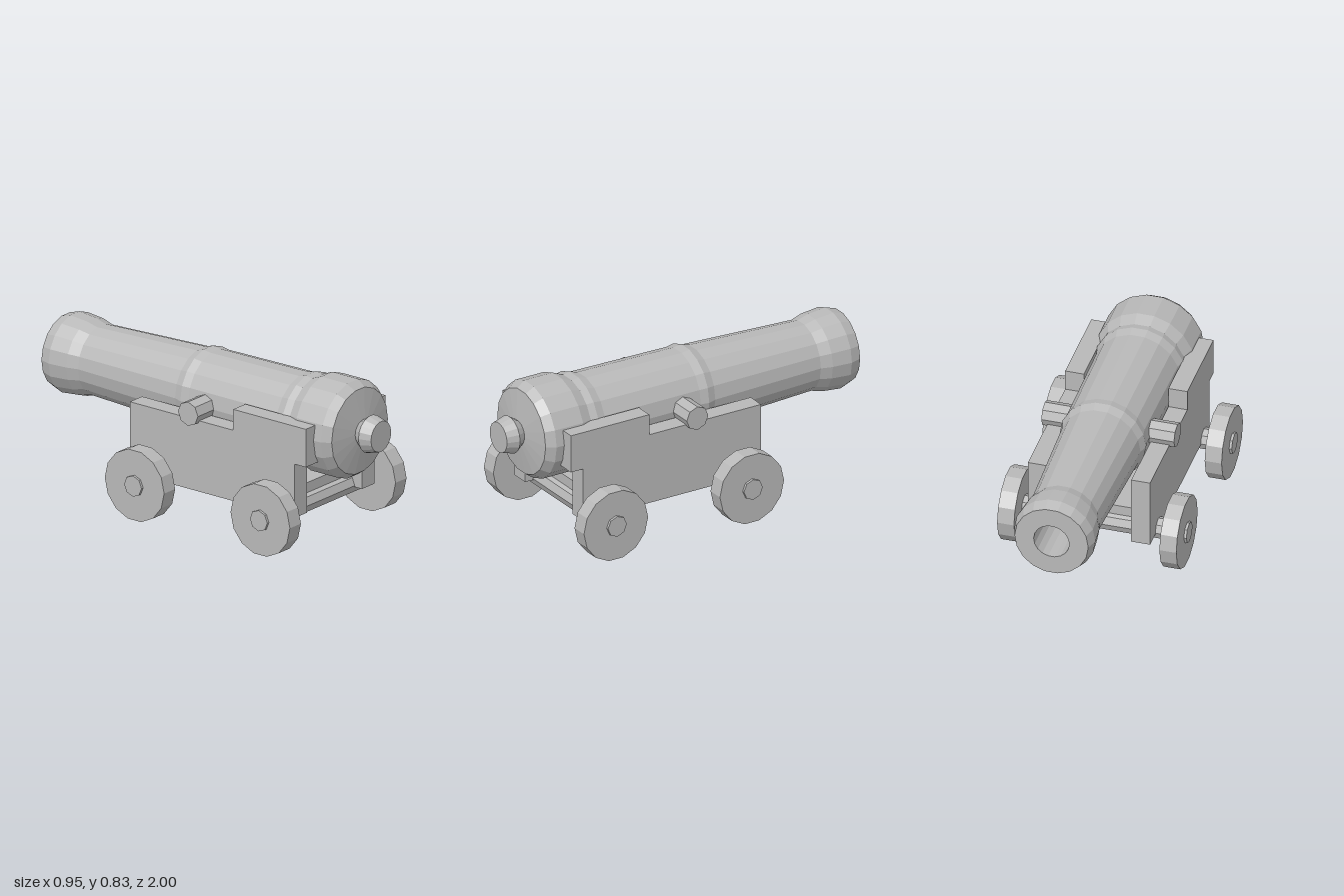
import * as THREE from 'three';

export function createModel() {
  const model = new THREE.Group();
  model.name = 'cannon';
  const grey = new THREE.MeshStandardMaterial({ color: 0xb8b8b8 });
  grey.name = 'plain grey';
  grey.flatShading = true;

  function add(name, geometry, x = 0, y = 0, z = 0) {
    const mesh = new THREE.Mesh(geometry, grey);
    mesh.name = name;
    mesh.position.set(x, y, z);
    model.add(mesh);
    return mesh;
  }
  // Cylinder lying along x
  const crossBar = (radius, length, sides) =>
    new THREE.CylinderGeometry(radius, radius, length, sides).rotateZ(Math.PI / 2);

  // Barrel: radius and z, from the bottom of the bore round the muzzle to the knob
  const profile = [
    [0, -0.45], [0.092, -0.45], [0.092, -1],
    [0.19, -1], [0.209, -0.94], [0.199, -0.835], [0.182, -0.775],
    [0.207, -0.14], [0.222, -0.095], [0.215, -0.05],
    [0.222, 0.51], [0.235, 0.556], [0.229, 0.595],
    [0.254, 0.655], [0.254, 0.82], [0.223, 0.865],
    [0.065, 0.888], [0.098, 0.935], [0.08, 1], [0, 1],
  ].map(([r, z]) => new THREE.Vector2(r, z));
  const barrel = new THREE.LatheGeometry(profile, 18, Math.PI / 2).rotateX(Math.PI / 2);
  add('barrel', barrel, 0, 0.583, 0);
  add('trunnion', crossBar(0.063, 0.684, 8), 0, 0.583, 0.05);

  // Stepped carriage cheeks: outline in (z, y), extruded across x
  const outline = [
    [0.775, 0.66], [0.775, 0.46], [0.705, 0.46], [0.705, 0.177],
    [-0.34, 0.177], [-0.34, 0.55], [0.315, 0.55], [0.315, 0.66],
  ].map(([z, y]) => new THREE.Vector2(-z, y));
  const cheek = new THREE.ExtrudeGeometry(new THREE.Shape(outline), {
    depth: 0.097, bevelEnabled: false,
  }).translate(0, 0, -0.0485).rotateY(Math.PI / 2);
  add('leftCheek', cheek, 0.2665);
  add('rightCheek', cheek, -0.2665);

  // Bed between the cheeks
  add('bed', new THREE.BoxGeometry(0.436, 0.055, 0.83), 0, 0.2575, 0.205);

  // Axles and wheels
  const axle = crossBar(0.055, 0.95, 8);
  const wheel = crossBar(0.188, 0.087, 14);
  for (const [end, z] of [['front', 0.604], ['rear', -0.193]]) {
    add(end + 'Axle', axle, 0, 0.184, z);
    add(end + 'LeftWheel', wheel, 0.4185, 0.184, z);
    add(end + 'RightWheel', wheel, -0.4185, 0.184, z);
  }
  return model;
}
